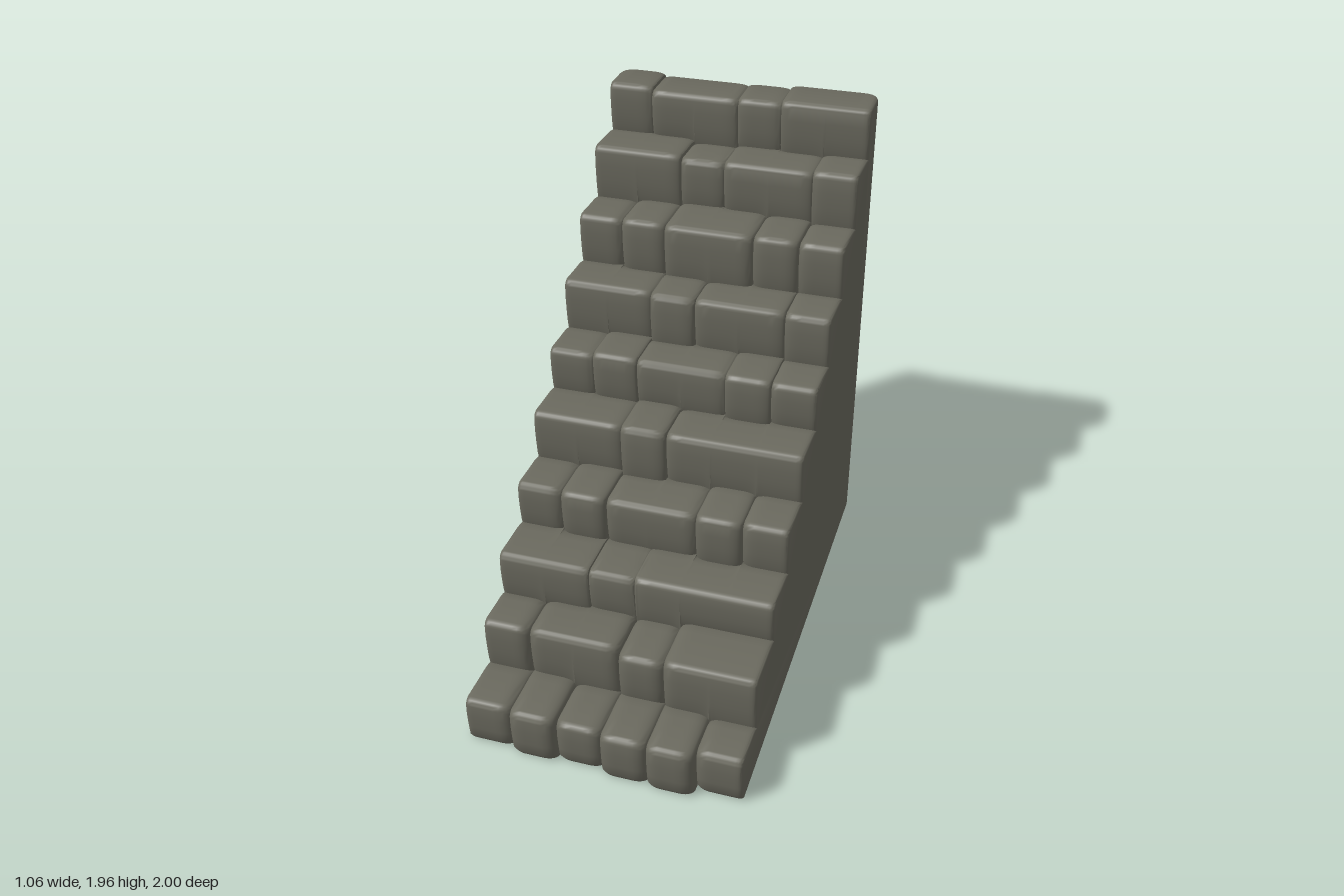
import * as THREE from 'three';
import { toCreasedNormals } from 'three/addons/utils/BufferGeometryUtils.js';

const HALF = 0.53, COLS = 6, COL = (2 * HALF) / COLS, BACK = -1;

// Rows of stones from the ground up: joint depth, then stones as
// [columns spanned, top height, front position], listed from -x to +x.
const ROWS = [
  { joint: 0.035, stones: [[1, 0.21, 0.955], [1, 0.22, 0.98], [1, 0.205, 0.965], [1, 0.215, 0.99], [1, 0.22, 1.0], [1, 0.21, 0.96]] },
  { joint: 0.035, stones: [[1, 0.415, 0.745], [2, 0.42, 0.75], [1, 0.405, 0.77], [2, 0.43, 0.785]] },
  { joint: 0.01, stones: [[2, 0.6, 0.57], [1, 0.59, 0.56], [3, 0.592, 0.555]] },
  { joint: 0.025, stones: [[1, 0.78, 0.36], [1, 0.787, 0.375], [2, 0.777, 0.36], [1, 0.787, 0.375], [1, 0.782, 0.36]] },
  { joint: 0.02, stones: [[2, 0.982, 0.165], [1, 0.99, 0.18], [3, 0.98, 0.165]] },
  { joint: 0.015, stones: [[1, 1.155, -0.03], [1, 1.167, -0.025], [2, 1.16, -0.03], [1, 1.165, -0.015], [1, 1.153, -0.03]] },
  { joint: 0.018, stones: [[2, 1.36, -0.215], [1, 1.36, -0.2], [2, 1.357, -0.21], [1, 1.35, -0.215]] },
  { joint: 0.025, stones: [[1, 1.555, -0.405], [1, 1.565, -0.39], [2, 1.567, -0.38], [1, 1.565, -0.39], [1, 1.555, -0.405]] },
  { joint: 0.016, stones: [[2, 1.765, -0.6], [1, 1.75, -0.612], [2, 1.757, -0.605], [1, 1.765, -0.6]] },
  { joint: 0.014, stones: [[1, 1.955, -0.8], [2, 1.942, -0.795], [1, 1.945, -0.8], [2, 1.957, -0.79]] },
];

// Quarter-round falloff: 1 at an edge, 0 once d is beyond r
const roundOff = (d, r) => {
  const t = Math.min(1, Math.max(0, 1 - d / r));
  return 1 - Math.sqrt(1 - t * t);
};

// Top height and front position of a row at x, worn away at its joints
function stoneAt({ joint, stones }, x) {
  let x0 = -HALF;
  for (const [span, top, front] of stones) {
    const x1 = x0 + span * COL;
    if (x <= x1 + 1e-6) {
      const wear = [x0, x1].reduce((sum, edge) => {
        const outer = Math.abs(edge) > HALF - 1e-4;
        return sum + roundOff(Math.abs(x - edge), outer ? 0.02 : 0.05) * (outer ? 0.012 : joint);
      }, 0);
      return { top: top - wear * 0.75, front: front - wear };
    }
    x0 = x1;
  }
}

// Closed outline (z, y) of the whole flight at x
function section(x) {
  const pts = [];
  const add = (z, y) => pts.push(new THREE.Vector2(z, y));
  const back = BACK + 0.06 * roundOff(HALF - Math.abs(x), 0.06);
  const rows = ROWS.map((row) => stoneAt(row, x));
  add(back + 0.01, 0);
  rows.forEach(({ top, front }, k) => {
    const base = k ? rows[k - 1].top - 0.014 : 0;
    const h = top - base, r = 0.026;
    // riser, drawn in towards its foot
    add(front - (k ? 0.02 : 0.03), base);
    add(front - 0.013, base + h * 0.12);
    add(front - 0.006, base + h * 0.35);
    add(front, base + h * 0.65);
    // rounded nosing
    for (let i = 0; i <= 5; i++) {
      const a = (i / 5) * Math.PI / 2;
      add(front - r + r * Math.cos(a), top - r + r * Math.sin(a));
    }
    // tread, sagging towards the next riser
    if (k < rows.length - 1) {
      const end = rows[k + 1].front - 0.02;
      for (const [t, sag] of [[0.4, 0.003], [0.75, 0.004], [0.9, 0.008]])
        add(THREE.MathUtils.lerp(front - r, end, t), top - sag);
    }
  });
  // rounded top edge of the back wall
  const top = rows[rows.length - 1].top, r = 0.03;
  for (let i = 0; i <= 5; i++) {
    const a = Math.PI / 2 * (1 + i / 5);
    add(back + r + r * Math.cos(a), top - r + r * Math.sin(a));
  }
  add(back, 0.01);
  return pts;
}

function stairGeometry() {
  // sample closely next to every column border
  const offsets = [0.0005, 0.003, 0.008, 0.016, 0.028, 0.045, 0.065];
  const xs = [];
  for (let c = 0; c < COLS; c++) {
    const x0 = -HALF + c * COL;
    for (const o of offsets) xs.push(x0 + o);
    for (const o of [...offsets].reverse()) xs.push(x0 + COL - o);
  }
  xs[0] = -HALF;
  xs[xs.length - 1] = HALF;

  const sections = xs.map(section), n = sections[0].length, pos = [], index = [];
  sections.forEach((pts, i) => pts.forEach((p) => pos.push(xs[i], p.y, p.x)));
  for (let i = 0; i < xs.length - 1; i++) {
    for (let j = 0; j < n; j++) {
      const a = i * n + j, b = i * n + (j + 1) % n;
      index.push(a, a + n, b + n, a, b + n, b);
    }
  }
  // flat side walls
  const last = (xs.length - 1) * n;
  for (const [a, b, c] of THREE.ShapeUtils.triangulateShape(sections[0], [])) index.push(a, b, c);
  for (const [a, b, c] of THREE.ShapeUtils.triangulateShape(sections[xs.length - 1], []))
    index.push(last + a, last + c, last + b);

  const geo = new THREE.BufferGeometry();
  geo.setAttribute('position', new THREE.Float32BufferAttribute(pos, 3));
  geo.setIndex(index);
  return toCreasedNormals(geo, 0.7);
}

export function createModel() {
  const group = new THREE.Group();
  group.name = 'stoneStaircase';
  const stairs = new THREE.Mesh(stairGeometry(), new THREE.MeshStandardMaterial({ color: 0x6b6a5f }));
  stairs.name = 'stoneSteps';
  group.add(stairs);
  return group;
}
